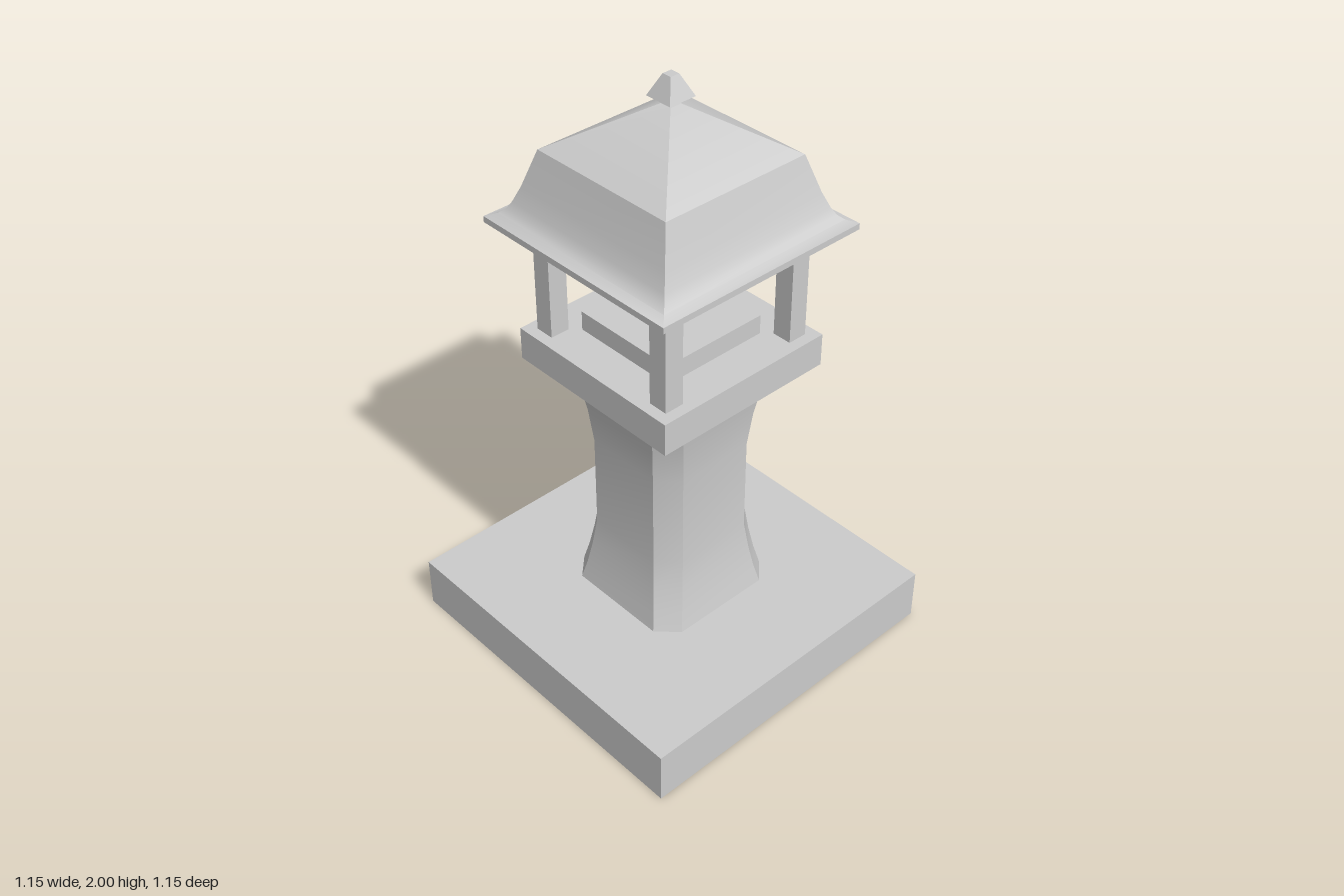
import * as THREE from 'three';
import { toCreasedNormals } from 'three/addons/utils/BufferGeometryUtils.js';

const grey = new THREE.MeshStandardMaterial({ color: 0xcccccc });
const greyOpen = new THREE.MeshStandardMaterial({ color: 0xcccccc, side: THREE.DoubleSide });

// Square outline of half-width w, corners cut by c, as [x, z] points
function outline(w, c) {
  if (!c) return [[-w, w], [w, w], [w, -w], [-w, -w]];
  const f = w - c;
  return [[-f, w], [f, w], [w, f], [w, -f], [f, -w], [-f, -w], [-w, -f], [-w, f]];
}

// Stacks outlines along a profile of [halfWidth, y], rising; smooth along shallow bends
function loft(profile, { chamfer = 0, capped = true } = {}) {
  const pos = [];
  const rings = profile.map(([w, y]) => outline(w, chamfer).map(([x, z]) => [x, y, z]));
  const n = rings[0].length;
  const tri = (a, b, c) => pos.push(...a, ...b, ...c);
  for (let k = 0; k + 1 < rings.length; k++) {
    for (let i = 0; i < n; i++) {
      const j = (i + 1) % n, lo = rings[k], hi = rings[k + 1];
      tri(lo[i], lo[j], hi[j]);
      tri(lo[i], hi[j], hi[i]);
    }
  }
  if (capped) {
    const lo = rings[0], hi = rings[rings.length - 1];
    for (let i = 1; i + 1 < n; i++) {
      tri(lo[0], lo[i + 1], lo[i]);
      tri(hi[0], hi[i], hi[i + 1]);
    }
  }
  const geo = new THREE.BufferGeometry();
  geo.setAttribute('position', new THREE.Float32BufferAttribute(pos, 3));
  return toCreasedNormals(geo, 0.6);
}

export function createModel() {
  const model = new THREE.Group();
  model.name = 'stoneLantern';
  const add = (name, geo, mat = grey, parent = model) => {
    const mesh = new THREE.Mesh(geo, mat);
    mesh.name = name;
    parent.add(mesh);
    return mesh;
  };
  const block = (name, half, y0, y1) =>
    add(name, new THREE.BoxGeometry(2 * half, y1 - y0, 2 * half)).position.y = (y0 + y1) / 2;

  // Hollow base: four walls and a top with an opening under the column
  const base = new THREE.Group();
  base.name = 'base';
  model.add(base);
  add('baseWalls', loft([[0.575, 0], [0.575, 0.18]], { capped: false }), greyOpen, base);
  const toVectors = (pts) => pts.map(([x, z]) => new THREE.Vector2(x, -z));
  const top = new THREE.Shape(toVectors(outline(0.575, 0)));
  top.holes.push(new THREE.Path(toVectors(outline(0.24, 0.065))));
  add('baseTop', new THREE.ShapeGeometry(top).rotateX(-Math.PI / 2).translate(0, 0.18, 0), greyOpen, base);

  // Waisted column with cut corners, hollow
  add('column', loft([
    [0.24, 0.18], [0.225, 0.25], [0.212, 0.33], [0.2, 0.43],
    [0.2, 0.76], [0.212, 0.88], [0.225, 0.96], [0.24, 1.04],
  ], { chamfer: 0.065, capped: false }), greyOpen);

  // Platform and the low block that stands on it
  block('platform', 0.32, 1.04, 1.15);
  block('lampBlock', 0.188, 1.15, 1.215);

  // Four corner posts
  for (const x of [-0.25, 0.25]) {
    for (const z of [-0.25, 0.25]) {
      add('post', new THREE.BoxGeometry(0.066, 0.37, 0.066)).position.set(x, 1.335, z);
    }
  }

  // Roof with flared eaves
  add('roof', loft([
    [0.38, 1.52], [0.38, 1.54], [0.35, 1.552], [0.333, 1.567],
    [0.32, 1.59], [0.3, 1.64], [0.263, 1.76], [0.02, 1.91],
  ]));

  // Finial on a short stem
  block('finialStem', 0.01, 1.9, 1.94);
  add('finial', loft([[0.048, 1.933], [0.016, 2]]));

  return model;
}
